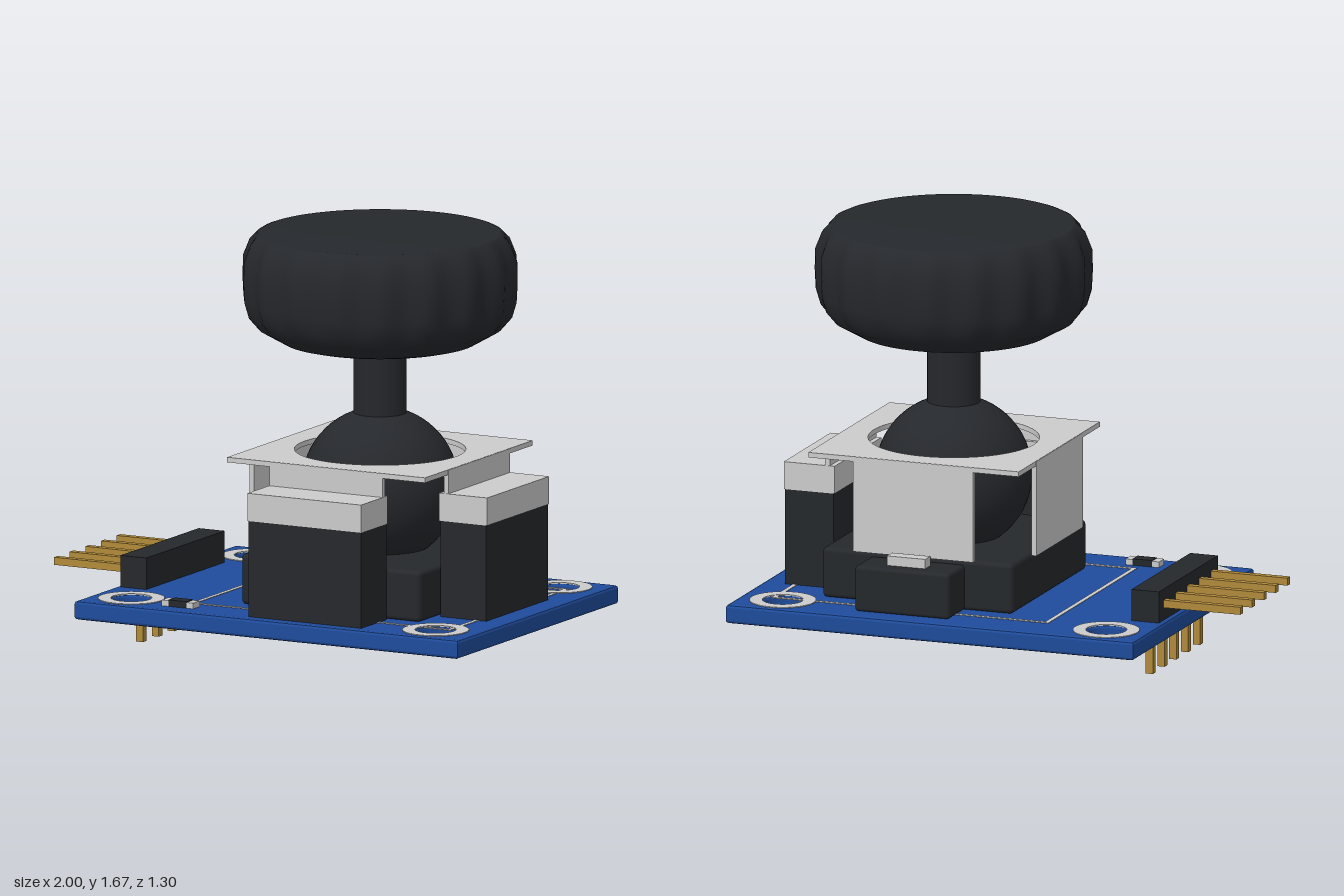
import * as THREE from 'three';
import { mergeVertices } from 'three/addons/utils/BufferGeometryUtils.js';
import { RoundedBoxGeometry } from 'three/addons/geometries/RoundedBoxGeometry.js';

const mat = (color) => new THREE.MeshStandardMaterial({ color });
const grey = mat(0xcccccc), black = mat(0x25282c), blue = mat(0x1f4c9c), gold = mat(0xb08a3a);

export function createModel() {
  const model = new THREE.Group();
  const CX = 0.3, TOP = 0.22; // stick axis and board surface

  function add(name, geometry, material, parent = model) {
    const mesh = new THREE.Mesh(geometry, material);
    mesh.name = name;
    parent.add(mesh);
    return mesh;
  }
  // Box given by its limits, optionally with rounded edges
  function box(name, [x0, x1], [y0, y1], [z0, z1], material, parent, round = 0) {
    const s = [x1 - x0, y1 - y0, z1 - z0];
    const g = round ? new RoundedBoxGeometry(...s, 2, round) : new THREE.BoxGeometry(...s);
    g.translate((x0 + x1) / 2, (y0 + y1) / 2, (z0 + z1) / 2);
    return add(name, g, material, parent);
  }
  function group(name) {
    const g = new THREE.Group();
    g.name = name;
    model.add(g);
    return g;
  }
  function rect(x0, x1, z0, z1) {
    return new THREE.Shape([[x0, z0], [x1, z0], [x1, z1], [x0, z1]].map((p) => new THREE.Vector2(...p)));
  }
  function hole(x, y, r) {
    return new THREE.Path().absarc(x, y, r, 0, Math.PI * 2, true);
  }
  // Flat plate lying on height y
  function plate(shape, y, depth, options = {}) {
    return new THREE.ExtrudeGeometry(shape, { depth, bevelEnabled: false, curveSegments: 32, ...options })
      .rotateX(-Math.PI / 2).translate(0, y, 0);
  }

  // Circuit board with four mounting holes and their solder rings
  const corners = [-0.53, 0.82].flatMap((x) => [-0.5, 0.5].map((z) => [x, z]));
  const board = rect(-0.7, 1, -0.65, 0.65);
  corners.forEach(([x, z]) => board.holes.push(hole(x, z, 0.08)));
  const b = 0.012;
  add('circuitBoard', plate(board, 0.145 + b, TOP - 0.145 - 2 * b,
    { bevelEnabled: true, bevelThickness: b, bevelSize: b, bevelOffset: -b, bevelSegments: 2 }), blue);
  const rings = group('mountingRings');
  corners.forEach(([x, z]) => {
    const ring = new THREE.Shape().absarc(x, z, 0.13, 0, Math.PI * 2, false);
    ring.holes.push(hole(x, z, 0.08));
    add('mountingRing', plate(ring, TOP - 0.002, 0.005), grey, rings);
  });

  // Printed outline around the stick
  const outline = rect(-0.28, 0.875, -0.48, 0.48);
  outline.holes.push(rect(-0.262, 0.857, -0.462, 0.462));
  add('boardOutline', plate(outline, TOP - 0.002, 0.004), grey);

  // Pin header with five bent pins
  const header = group('pinHeader');
  box('headerBlock', [-0.68, -0.565], [TOP, 0.345], [-0.32, 0.315], black, header);
  for (let i = -2; i <= 2; i++) {
    const z = [i * 0.127 - 0.015, i * 0.127 + 0.015];
    box('pinArm', [-1, -0.6], [0.27, 0.3], z, gold, header);
    box('pinLeg', [-0.635, -0.605], [0, 0.27], z, gold, header);
  }

  // Small surface resistor
  const resistor = group('resistor');
  box('resistorBody', [-0.325, -0.245], [TOP, 0.246], [0.52, 0.575], black, resistor);
  box('resistorEnd', [-0.355, -0.325], [TOP, 0.243], [0.52, 0.575], grey, resistor);
  box('resistorEnd', [-0.245, -0.215], [TOP, 0.243], [0.52, 0.575], grey, resistor);

  // Stick housing and the two sensors on its front and left
  box('housingBase', [-0.1, 0.695], [TOP, 0.42], [-0.4, 0.4], black, model, 0.018);
  const sensors = group('sensors');
  box('frontSensor', [0.05, 0.55], [TOP, 0.6], [0.405, 0.61], black, sensors);
  box('frontSensorCover', [0.048, 0.552], [0.6, 0.71], [0.4, 0.615], grey, sensors);
  box('leftSensor', [0.705, 0.907], [TOP, 0.6], [-0.25, 0.25], black, sensors);
  box('leftSensorCover', [0.7, 0.912], [0.6, 0.71], [-0.252, 0.252], grey, sensors);

  // Push switch at the back
  const pushSwitch = group('pushSwitch');
  box('switchBody', [0.1, 0.495], [TOP, 0.402], [-0.57, -0.39], black, pushSwitch, 0.015);
  box('switchButton', [0.22, 0.38], [0.4, 0.44], [-0.515, -0.46], grey, pushSwitch);

  // Metal cover: top plate with a round opening, and four folded flaps
  const cover = group('metalCover');
  const top = rect(-0.14, 0.738, -0.437, 0.437);
  top.holes.push(hole(CX, 0, 0.334));
  add('coverPlate', plate(top, 0.785, 0.02), grey, cover);
  box('rightFlap', [-0.142, -0.122], [0.425, 0.804], [-0.25, 0.25], grey, cover);
  box('backFlap', [0.05, 0.55], [0.425, 0.804], [-0.439, -0.419], grey, cover);
  box('leftFlap', [0.72, 0.74], [0.7, 0.804], [-0.25, 0.25], grey, cover);
  box('frontFlap', [0.05, 0.55], [0.7, 0.804], [0.419, 0.439], grey, cover);

  // Ball, stem and scalloped thumb cap
  const stick = group('stick');
  stick.position.x = CX;
  add('ball', new THREE.SphereGeometry(0.307, 48, 32).translate(0, 0.663, 0), black, stick);
  add('stem', new THREE.CylinderGeometry(0.104, 0.104, 0.36, 32).translate(0, 1.08, 0), black, stick);
  const profile = [[0, 1.225], [0.34, 1.226], [0.38, 1.236], [0.475, 1.29], [0.512, 1.34], [0.528, 1.4],
    [0.532, 1.48], [0.53, 1.56], [0.507, 1.625], [0.478, 1.66], [0.465, 1.665], [0, 1.667]];
  let cap = new THREE.LatheGeometry(profile.map((p) => new THREE.Vector2(...p)), 144);
  const pos = cap.attributes.position;
  for (let i = 0; i < pos.count; i++) {
    const x = pos.getX(i), z = pos.getZ(i), r = Math.hypot(x, z);
    const wave = 0.018 * THREE.MathUtils.smoothstep(r, 0.46, 0.53);
    const k = 1 + wave * Math.cos(18 * Math.atan2(z, x));
    pos.setXYZ(i, x * k, pos.getY(i), z * k);
  }
  cap.deleteAttribute('uv');
  cap.deleteAttribute('normal');
  cap = mergeVertices(cap, 1e-5);
  cap.computeVertexNormals();
  add('thumbCap', cap, black, stick);

  return model;
}
